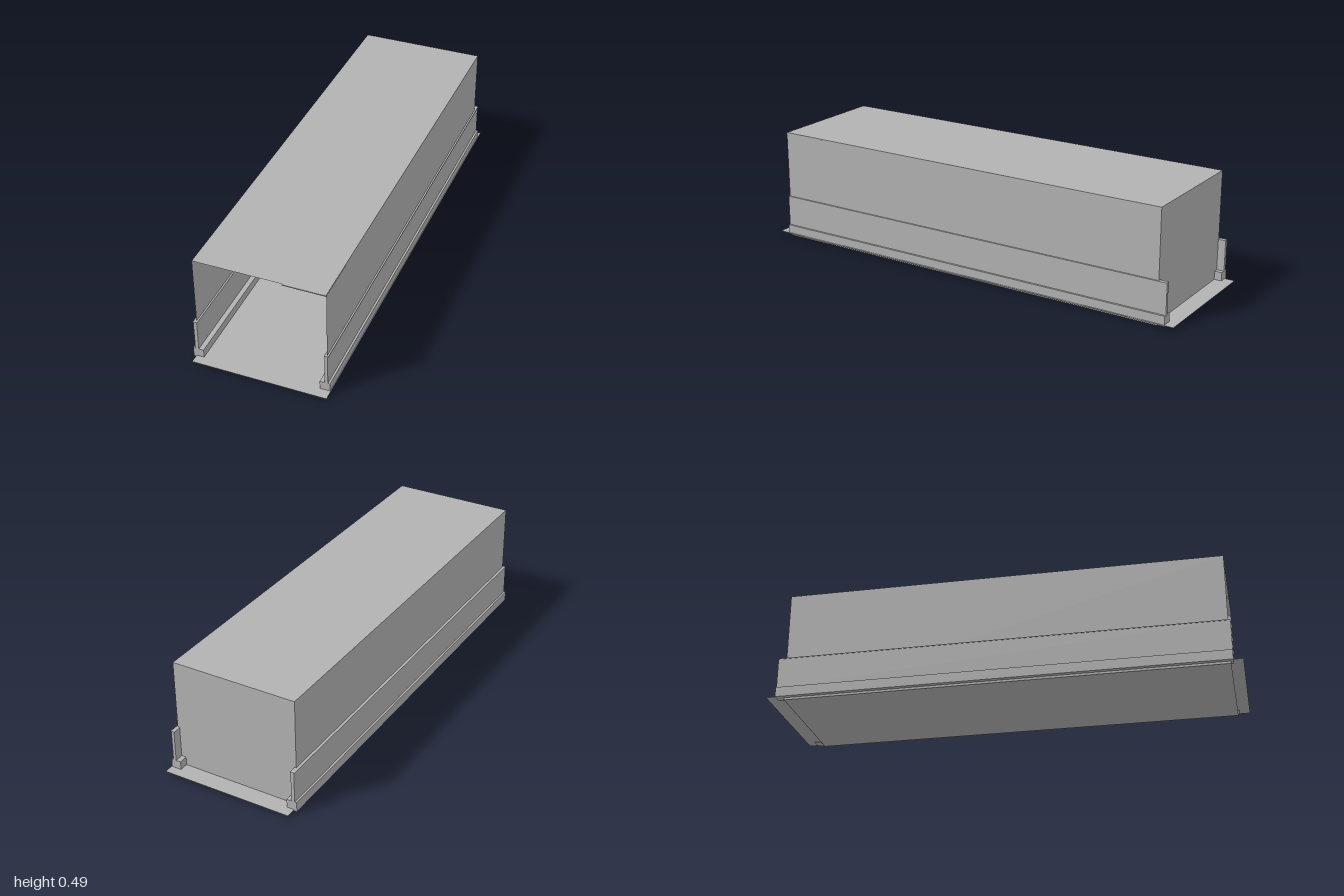
import * as THREE from 'three';

const grey = new THREE.MeshStandardMaterial({ color: 0xb2b2b2, side: THREE.DoubleSide });
grey.name = 'grey';

// Box given by its minimum and maximum on each axis
function block(name, [x0, x1], [y0, y1], [z0, z1]) {
  const mesh = new THREE.Mesh(new THREE.BoxGeometry(x1 - x0, y1 - y0, z1 - z0), grey);
  mesh.position.set((x0 + x1) / 2, (y0 + y1) / 2, (z0 + z1) / 2);
  mesh.name = name;
  return mesh;
}

// Thin single-sheet panel, turned into place
function panel(name, w, h, pos, rotX = 0, rotY = 0) {
  const mesh = new THREE.Mesh(new THREE.PlaneGeometry(w, h), grey);
  mesh.position.set(...pos);
  mesh.rotation.set(rotX, rotY, 0);
  mesh.name = name;
  return mesh;
}

// Side rail: wide foot, thin upright web and a small cap flange
function rail(name, foot, web, cap, z) {
  const g = new THREE.Group();
  g.name = name;
  g.add(
    block('railFoot', foot, [0.01, 0.053], z),
    block('railWeb', web, [0.053, 0.187], z),
    block('railCap', cap, [0.187, 0.19], z)
  );
  return g;
}

export function createModel() {
  const model = new THREE.Group();
  model.name = 'openTunnelBox';
  const half = 0.276, height = 0.49, back = -0.922, front = 0.95;
  const length = front - back, mid = (front + back) / 2;

  // Thin-walled housing, open at the front
  const housing = new THREE.Group();
  housing.name = 'housing';
  housing.add(
    panel('roof', half * 2, length, [0, height, mid], -Math.PI / 2),
    panel('underside', half * 2, length, [0, 0.001, mid], Math.PI / 2),
    panel('backWall', half * 2, height, [0, height / 2, back], 0, Math.PI)
  );
  for (const s of [-1, 1]) {
    housing.add(panel(s > 0 ? 'leftWall' : 'rightWall', length, height, [s * half, height / 2, mid], 0, s * Math.PI / 2));
  }
  model.add(housing);

  // Floor plate that projects past both ends
  model.add(block('floorPlate', [-0.283, 0.292], [0.014, 0.016], [-1, 1]));

  // Rails running the whole length
  model.add(
    rail('rightRail', [-0.295, -0.25], [-0.286, -0.271], [-0.288, -0.269], [-0.955, 0.96]),
    rail('leftRail', [0.246, 0.289], [0.267, 0.28], [0.265, 0.283], [-0.96, 0.955])
  );

  // Small plate under the roof at the front corner
  model.add(block('cornerPlate', [0.097, 0.277], [0.483, 0.487], [0.75, 0.951]));
  return model;
}
